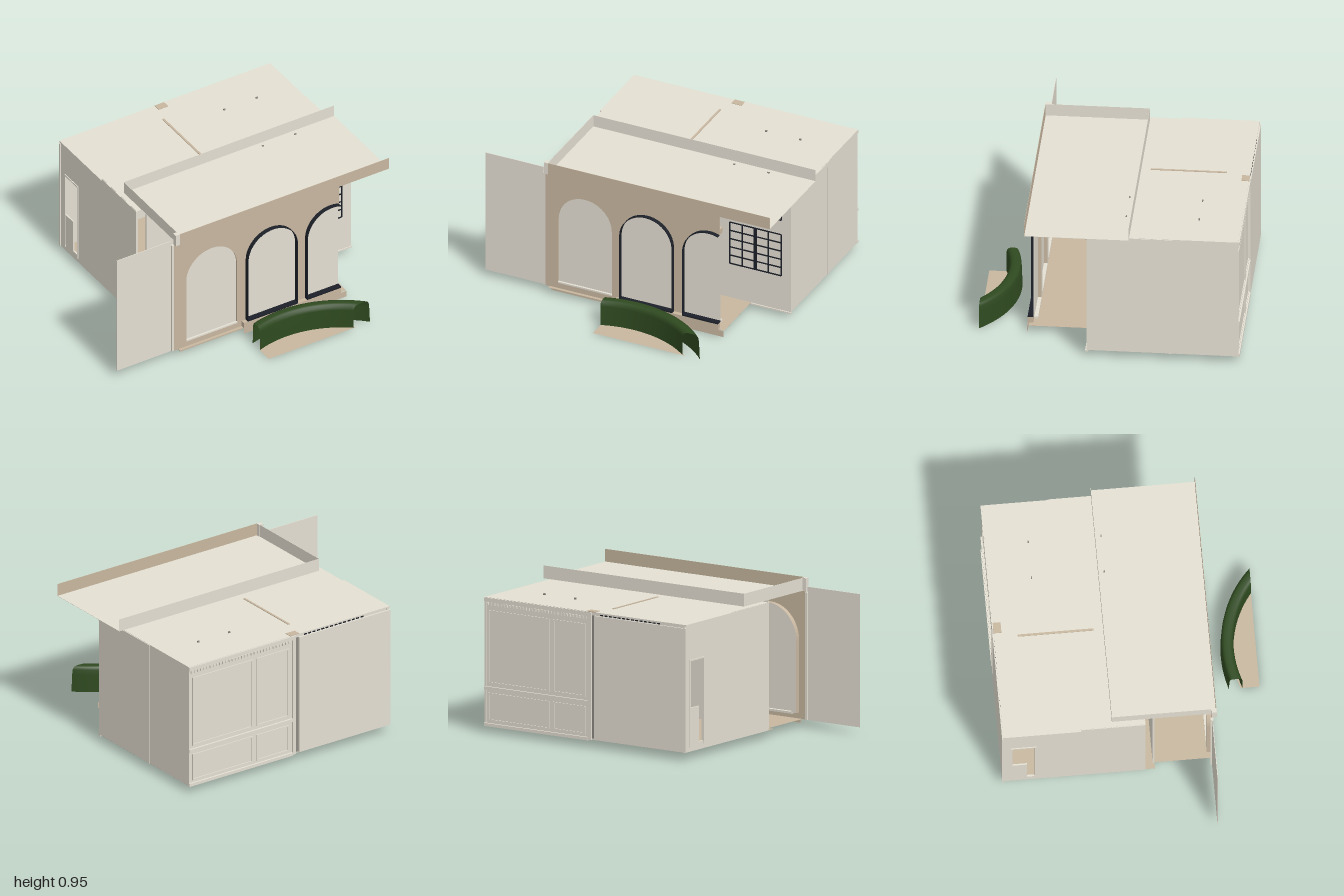
import * as THREE from 'three';

const mat = (name, color) => {
  const m = new THREE.MeshStandardMaterial({ color, side: THREE.DoubleSide });
  m.name = name;
  return m;
};

export function createModel() {
  const beige = mat('beige plaster', 0xe4dfd2);
  const tan = mat('tan stucco', 0xc8b7a0);
  const dark = mat('dark frame', 0x1c2028);
  const green = mat('hedge green', 0x2f4a20);
  const grey = mat('grey trim', 0x8d8a82);
  const root = new THREE.Group();
  root.name = 'arcadeHouse';

  const add = (name, geo, material, parent = root) => {
    const m = new THREE.Mesh(geo, material);
    m.name = name;
    parent.add(m);
    return m;
  };
  // box given by its two corners
  const box = (name, material, x0, x1, y0, y1, z0, z1, parent = root) => {
    const m = add(name, new THREE.BoxGeometry(x1 - x0, y1 - y0, z1 - z0), material, parent);
    m.position.set((x0 + x1) / 2, (y0 + y1) / 2, (z0 + z1) / 2);
    return m;
  };
  const group = (name) => {
    const g = new THREE.Group();
    g.name = name;
    root.add(g);
    return g;
  };
  const V = (x, y) => new THREE.Vector2(x, y);
  const slab = (name, shape, z0, z1, material, parent = root) => {
    const geo = new THREE.ExtrudeGeometry(shape, { depth: z1 - z0, bevelEnabled: false });
    geo.translate(0, 0, z0);
    return add(name, geo, material, parent);
  };

  // Room shell
  const room = group('room');
  box('roomFloor', tan, -0.59, 0.96, 0.05, 0.051, -0.825, 0.13, room);
  box('frontWall', beige, -0.555, 0.96, 0.05, 0.87, 0.118, 0.13, room);
  box('rightWall', beige, 0.948, 0.96, 0.05, 0.87, -0.83, 0.13, room);
  box('backWall', beige, -0.59, 0.96, 0.05, 0.87, -0.825, -0.813, room);
  box('mainRoof', beige, -0.59, 0.96, 0.866, 0.872, -0.83, 0.07, room);
  box('roofEaveLeft', beige, -0.605, -0.59, 0.862, 0.872, -0.83, -0.34, room);
  box('backSlab', beige, -0.605, 0.105, 0.055, 0.85, -0.837, -0.825, room);
  box('backGap', grey, 0.107, 0.128, 0.06, 0.85, -0.829, -0.825, room);
  box('backPost', beige, 0.13, 0.155, 0.05, 0.87, -0.837, -0.825, room);
  box('roofRail', tan, 0.064, 0.078, 0.87, 0.876, -0.68, -0.2, room);
  box('roofPatch', tan, 0.1, 0.17, 0.87, 0.875, -0.83, -0.78, room);
  for (const x of [0.45, 0.69]) for (const z of [-0.56, -0.1])
    box('roofVent', grey, x - 0.007, x + 0.007, 0.87, 0.882, z - 0.004, z + 0.004, room);

  // Left wall with a door opening (drawn in z, y, then turned to face the side)
  const side = new THREE.Shape([V(-0.83, 0.05), V(0.07, 0.05), V(0.07, 0.87), V(-0.83, 0.87)]);
  side.holes.push(new THREE.Path([V(-0.77, 0.1), V(-0.77, 0.63), V(-0.63, 0.63), V(-0.63, 0.1)]));
  slab('leftWall', side, 0, 0.012, beige, room).geometry.rotateY(-Math.PI / 2).translate(-0.582, 0, 0);
  for (const z of [-0.78, -0.63])
    box('doorJamb', beige, -0.6, -0.584, 0.08, 0.64, z, z + 0.01, room);
  box('doorHead', beige, -0.6, -0.584, 0.63, 0.64, -0.78, -0.62, room);
  box('doorLowerPanel', beige, -0.597, -0.587, 0.1, 0.33, -0.77, -0.68, room);

  // Right wall trims
  box('sidePilaster', beige, 0.96, 0.965, 0.05, 0.87, -0.415, -0.39, room);
  box('sideCornice', beige, 0.96, 0.965, 0.84, 0.87, -0.39, 0.13, room);

  // Raised panel frames on the back
  const back = group('backPanelling');
  const panel = (x0, x1, y0, y1) => {
    const t = 0.01, z0 = -0.831, z1 = -0.824;
    box('panelStile', beige, x0, x0 + t, y0, y1, z0, z1, back);
    box('panelStile', beige, x1 - t, x1, y0, y1, z0, z1, back);
    box('panelRail', beige, x0 + t, x1 - t, y0, y0 + t, z0, z1, back);
    box('panelRail', beige, x0 + t, x1 - t, y1 - t, y1, z0, z1, back);
  };
  for (const [x0, x1] of [[0.46, 0.93], [0.18, 0.43]]) {
    panel(x0, x1, 0.32, 0.79);
    panel(x0, x1, 0.08, 0.26);
  }
  box('chairRail', beige, 0.155, 0.96, 0.28, 0.3, -0.838, -0.825, back);
  box('backCornice', beige, 0.155, 0.96, 0.845, 0.87, -0.838, -0.825, back);
  box('backBase', beige, 0.155, 0.96, 0.045, 0.065, -0.838, -0.825, back);
  for (let i = 0; i < 32; i++)
    box('dentil', beige, 0.17 + i * 0.0245, 0.182 + i * 0.0245, 0.822, 0.84, -0.833, -0.825, back);
  for (let i = 0; i < 14; i++)
    box('slabVent', dark, -0.4 + i * 0.034, -0.38 + i * 0.034, 0.853, 0.86, -0.83, -0.824, back);

  // Gridded windows and door on the front wall
  const win = group('frontWindows');
  const grid = (x0, x1, y0, y1, cols, rows) => {
    for (let i = 0; i <= cols; i++) {
      const x = x0 + (x1 - x0) * i / cols;
      const w = i * 2 === cols && rows > 1 ? 0.011 : 0.0045;
      box('windowUpright', dark, x - w, x + w, y0, y1, 0.13, 0.133, win);
    }
    for (let j = 0; j <= rows; j++) {
      const y = y0 + (y1 - y0) * j / rows;
      box('windowBar', dark, x0, x1, y - 0.0045, y + 0.0045, 0.13, 0.1325, win);
    }
  };
  grid(0.53, 0.89, 0.3, 0.6, 4, 5);
  grid(0.53, 0.89, 0.705, 0.815, 4, 1);
  box('frontDoor', dark, 0.2, 0.44, 0.055, 0.72, 0.13, 0.132, win);
  box('windowCornice', grey, 0.5, 0.93, 0.833, 0.845, 0.13, 0.145, win);
  box('frontBase', beige, 0.45, 0.96, 0.04, 0.05, 0.118, 0.138, win);

  // Arcade: three arches, the last cut off by the end of the wall
  const arcade = group('arcade');
  const END = 0.64, SPRING = 0.555;
  const archPts = (cx, r, y0) => {
    const pts = [V(cx - r, y0)];
    const cut = cx + r > END;
    const stop = cut ? Math.acos((END - cx) / r) : 0;
    for (let i = 0; i <= 28; i++) {
      const a = Math.PI + (stop - Math.PI) * i / 28;
      pts.push(V(cx + r * Math.cos(a), SPRING + r * Math.sin(a)));
    }
    if (!cut) pts.push(V(cx + r, y0));
    return pts;
  };
  const arches = [[-0.3025, 0.1875], [0.135, 0.185], [0.575, 0.185]];
  const wall = new THREE.Shape([V(-0.58, 0.05), V(-0.535, 0.05), V(-0.535, 0.025), V(END, 0.025),
    V(END, 0.09), ...archPts(...arches[2], 0.09), V(END, 0.872), V(-0.58, 0.872)]);
  for (const a of arches.slice(0, 2)) wall.holes.push(new THREE.Path(archPts(...a, 0.09)));
  slab('arcadeWall', wall, 0.494, 0.5, tan, arcade);

  // band following an arch from radius r0 to r1
  const archBand = (name, cx, r0, r1, z0, z1, material) =>
    slab(name, new THREE.Shape([...archPts(cx, r1, 0.09), ...archPts(cx, r0, 0.09).reverse()]),
      z0, z1, material, arcade);
  arches.forEach(([cx, r], i) => {
    const right = Math.min(cx + r, END);
    const fill = archPts(cx, r, 0.09);
    if (cx + r > END) fill.push(V(END, 0.09));
    slab('archInfill', new THREE.Shape(fill), 0.486, 0.491, beige, arcade);
    archBand('archRearSurround', cx, r, r + 0.035, 0.462, 0.494, [beige, tan]);
    box('rearSill', beige, cx - r, right, 0.082, 0.095, 0.462, 0.486, arcade);
    if (i === 0) {
      box('archSill', beige, cx - r, right, 0.09, 0.1, 0.491, 0.505, arcade);
    } else {
      archBand('archLining', cx, r - 0.004, r, 0.5, 0.528, dark);
      box('archThreshold', dark, cx - r, right, 0.09, 0.1, 0.492, 0.528, arcade);
    }
  });
  box('archPlinth', tan, -0.08, END, 0.05, 0.09, 0.5, 0.528, arcade);
  box('curb', tan, -0.08, 0.68, 0.008, 0.05, 0.526, 0.528, arcade);
  box('endPost', beige, -0.597, -0.58, 0.05, 0.87, 0.48, 0.5, arcade);
  box('porchFloor', tan, -0.55, 0.68, 0.05, 0.051, 0.13, 0.52, arcade);
  box('sideScreen', beige, -1, -0.595, 0.05, 0.905, 0.489, 0.493, arcade);

  // Porch roof with its raised edges, open on one side
  const porch = group('porchRoof');
  box('porchRoofDeck', beige, -0.555, 1, 0.8745, 0.876, -0.14, 0.52, porch);
  box('frontFascia', tan, -0.55, 1, 0.875, 0.957, 0.519, 0.521, porch);
  box('fasciaEnd', beige, -0.58, -0.55, 0.875, 0.957, 0.49, 0.521, porch);
  box('rearParapet', beige, -0.555, 1, 0.875, 0.957, -0.14, -0.139, porch);
  box('sideParapet', beige, -0.556, -0.554, 0.875, 0.957, -0.14, 0.519, porch);

  // Curved hedge: a rounded section swept along an arc, ends cut straight
  const CX = 0.13, CZ = 1.35, N = 32;
  const section = [[0.66, 0.005], [0.66, 0.14], [0.664, 0.16], [0.675, 0.172], [0.69, 0.175],
    [0.715, 0.175], [0.728, 0.17], [0.735, 0.155], [0.738, 0.12], [0.742, 0.005]];
  const arcPoint = (r, t) => {
    const a0 = Math.asin(-0.215 / r), a1 = Math.acos(0.516 / r);
    const a = a0 + (a1 - a0) * t;
    return [CX + r * Math.sin(a), CZ - r * Math.cos(a)];
  };
  const pos = [], idx = [], M = section.length;
  for (let i = 0; i <= N; i++) for (const [r, y] of section) {
    const [x, z] = arcPoint(r, i / N);
    pos.push(x, y, z);
  }
  for (let i = 0; i < N; i++) for (let j = 0; j < M - 1; j++) {
    const a = i * M + j, b = a + M;
    idx.push(a, b, a + 1, b, b + 1, a + 1);
  }
  const hedge = new THREE.BufferGeometry();
  hedge.setAttribute('position', new THREE.Float32BufferAttribute(pos, 3));
  hedge.setIndex(idx);
  hedge.computeVertexNormals();
  add('hedge', hedge, green);

  // Planting bed in front of the hedge
  const bed = [V(-0.085, -0.834)];
  for (let i = 0; i <= 24; i++) {
    const [x, z] = arcPoint(0.67, i / 24);
    bed.push(V(x, -z));
  }
  const bedGeo = new THREE.ShapeGeometry(new THREE.Shape(bed));
  bedGeo.rotateX(-Math.PI / 2).translate(0, 0.003, 0);
  add('plantingBed', bedGeo, tan);

  return root;
}
